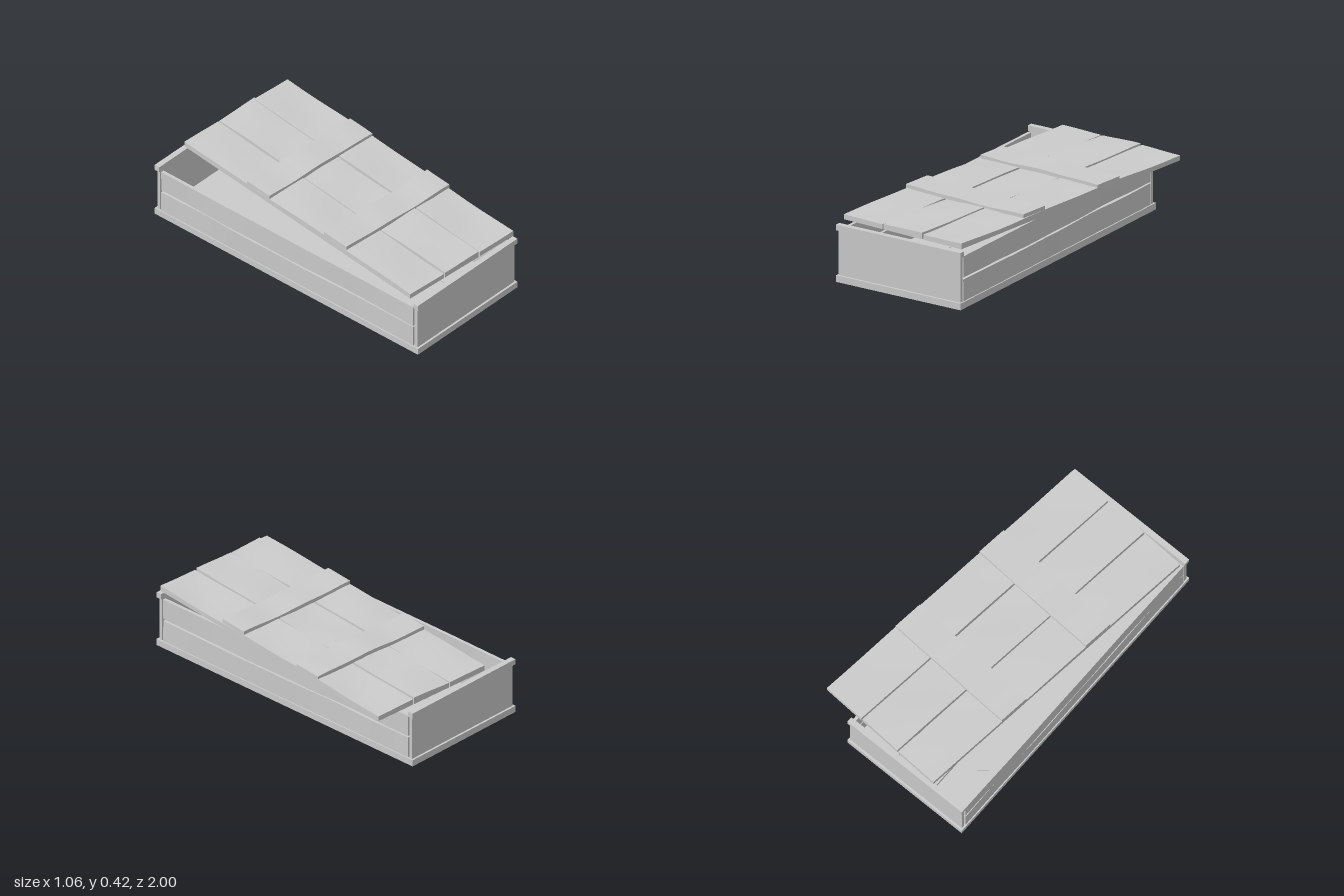
import * as THREE from 'three';

const material = new THREE.MeshStandardMaterial({ color: 0xcccccc });

// A board between two corners; warp(point) bends its subdivided vertices
function board(name, min, max, segments = [1, 1, 1], warp = null) {
  const size = max.map((v, i) => v - min[i]);
  const geometry = new THREE.BoxGeometry(...size, ...segments);
  geometry.translate(...max.map((v, i) => (v + min[i]) / 2));
  if (warp) {
    const pos = geometry.attributes.position;
    const p = new THREE.Vector3();
    for (let i = 0; i < pos.count; i++) {
      p.fromBufferAttribute(pos, i);
      warp(p);
      pos.setXYZ(i, p.x, p.y, p.z);
    }
    geometry.computeVertexNormals();
  }
  const mesh = new THREE.Mesh(geometry, material);
  mesh.name = name;
  return mesh;
}

// Slow uneven wave for worn timber
const wave = (t, seed) => 0.6 * Math.sin(t * 4.1 + seed * 2.3) + 0.4 * Math.sin(t * 9.3 + seed * 4.7);

function createCrate() {
  const crate = new THREE.Group();
  crate.name = 'crate';

  // Floor of three planks
  [[-0.53, -0.247], [-0.241, 0.032], [0.038, 0.32]].forEach(([a, b]) =>
    crate.add(board('floorPlank', [a, 0, -0.965], [b, 0.04, 0.965])));

  // End panels, each with a bottom and a top bar
  for (const s of [-1, 1]) {
    const zRange = (a, b) => (s > 0 ? [a, b] : [-b, -a]);
    const [p0, p1] = zRange(0.967, 0.987);
    const [b0, b1] = zRange(0.965, 1);
    crate.add(board('endPanel', [-0.52, 0.03, p0], [0.31, 0.33, p1]));
    crate.add(board('endBottomBar', [-0.53, 0, b0], [0.32, 0.04, b1]));
    crate.add(board('endTopBar', [-0.53, 0.312, b0], [0.32, 0.346, b1]));
  }

  // Two warped planks on each long side, with a ragged slit between them
  for (const s of [-1, 1]) {
    const outer = s > 0 ? 0.311 : -0.521;
    const x0 = Math.min(outer, outer - s * 0.02);
    const sidePlank = (name, y0, y1, slitY, seed) => board(name, [x0, y0, -0.957], [x0 + 0.02, y1, 0.957], [1, 4, 40], p => {
      const t = (p.y - y0) / (y1 - y0);
      const nearSlit = slitY === y1 ? t : 1 - t;
      p.x += s * (0.004 * wave(p.z, seed) * (0.3 + 0.7 * nearSlit) + 0.002);
      p.y += 0.003 * nearSlit * wave(p.z * 1.3, seed + 1);
    });
    crate.add(sidePlank('lowerSidePlank', 0.04, 0.17, 0.17, s + 2));
    crate.add(sidePlank('upperSidePlank', 0.181, 0.312, 0.181, s + 5));
  }

  // Loose splinter on the floor
  const splinter = board('splinter', [-0.035, 0, -0.004], [0.035, 0.008, 0.004]);
  splinter.position.set(-0.385, 0.041, -0.64);
  splinter.rotation.y = 0.7;
  crate.add(splinter);
  return crate;
}

function createLid() {
  const lid = new THREE.Group();
  lid.name = 'lid';

  // The lid lies askew over the crate
  const skew = p => {
    const { x, z } = p;
    p.x = 0.005 + x - 0.115 * z;
    p.z = z + 0.054 * x;
  };

  // Three long planks, flat below and uneven on top
  [[-0.415, -0.144], [-0.134, 0.136], [0.146, 0.415]].forEach(([a, b], i) =>
    lid.add(board('lidPlank', [a, 0.36, -0.955], [b, 0.394, 0.955], [6, 1, 40], p => {
      if (p.y > 0.38) p.y += 0.006 * wave(p.z + p.x, i + 1) + 0.002 * Math.sin(p.x * 14);
      skew(p);
    })));

  // Two bowed cross battens
  [-0.33, 0.32].forEach((z, i) =>
    lid.add(board('crossBatten', [-0.415, 0.391, z - 0.094], [0.415, 0.414, z + 0.094], [28, 1, 4], p => {
      p.y += 0.006 * wave(p.x * 1.8, i * 1.4 + 0.4) + 0.001;
      skew(p);
    })));
  return lid;
}

export function createModel() {
  const model = new THREE.Group();
  model.name = 'woodenCrateWithLid';
  model.add(createCrate(), createLid());
  return model;
}
